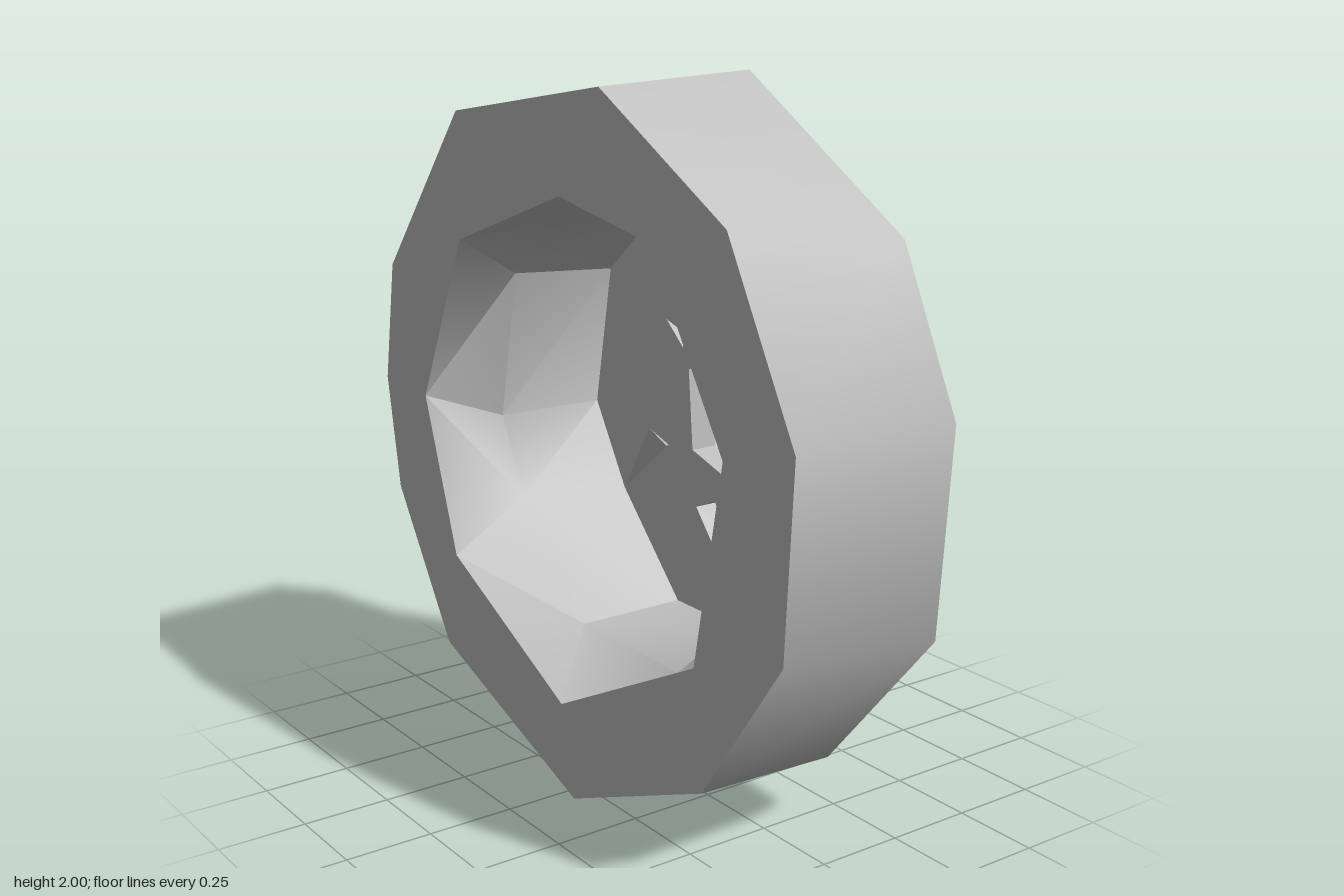
import * as THREE from 'three';
import { toCreasedNormals } from 'three/addons/utils/BufferGeometryUtils.js';

const CY = 1; // height of the axle

// Rings of [x, y] points, placed at a depth z
const rings = {
  deep: { z: -0.24, p: [[0.1, 1.62], [0.42, 1.5], [0.62, 1.2], [0.63, 0.9], [0.52, 0.62], [0.13, 0.39], [-0.22, 0.39], [-0.5, 0.68], [-0.65, 0.93], [-0.57, 1.36], [-0.33, 1.56]] },
  barrel: { z: 0.1, p: [[0.1, 1.67], [0.4, 1.53], [0.62, 1.22], [0.63, 0.95], [0.6, 0.7], [0.24, 0.39], [-0.22, 0.39], [-0.55, 0.7], [-0.66, 0.93], [-0.57, 1.38], [-0.33, 1.57]] },
  lip: { z: 0.325, p: [[0.02, 1.69], [0.42, 1.62], [0.72, 1.14], [0.61, 0.58], [0, 0.27], [-0.57, 0.55], [-0.73, 1.01], [-0.5, 1.51]] },
  outerFront: { z: 0.32, p: [[0.2, 1.98], [0.72, 1.69], [0.98, 1.21], [0.95, 0.69], [0.64, 0.25], [0.05, 0], [-0.64, 0.25], [-0.92, 0.68], [-0.98, 1.02], [-0.92, 1.38], [-0.51, 1.87]] },
  outerBack: { z: -0.18, p: [[0.17, 2], [0.78, 1.63], [0.98, 1.21], [0.94, 0.64], [0.55, 0.18], [-0.16, 0.02], [-0.7, 0.33], [-0.92, 0.68], [-0.98, 1.16], [-0.73, 1.67], [-0.37, 1.91]] },
  shoulder: { z: -0.2, p: [[0.1, 1.84], [0.55, 1.62], [0.8, 1.2], [0.78, 0.75], [0.48, 0.34], [-0.02, 0.21], [-0.58, 0.45], [-0.8, 0.95], [-0.66, 1.5], [-0.3, 1.78]] },
  backRing: { z: -0.325, p: [[-0.05, 1.58], [0.38, 1.58], [0.54, 1.28], [0.62, 1.02], [0.57, 0.68], [0.25, 0.46], [-0.15, 0.4], [-0.5, 0.64], [-0.62, 0.99], [-0.48, 1.38]] },
};

// Openings through the disc: front outline and back outline, counter-clockwise
const hub = [[0.02, 1.2], [-0.17, 1.12], [-0.15, 0.88], [0.05, 0.82], [0.19, 0.93], [0.13, 1.16]];
const openings = [
  [hub, hub],
  [[[0, 1.46], [0.03, 1.23], [0.1, 1.25]], [[0, 1.48], [0.13, 1.22], [0.16, 1.42]]],
  [[[-0.28, 1.25], [-0.2, 1.18], [-0.18, 1.22]], [[-0.28, 1.26], [-0.2, 1.18], [-0.17, 1.23]]],
  [[[-0.5, 0.68], [-0.27, 0.87], [-0.37, 0.9]], [[-0.34, 0.8], [-0.26, 0.87], [-0.37, 0.9]]],
  [[[0.13, 0.4], [-0.04, 0.75], [-0.13, 0.71]], [[-0.05, 0.62], [-0.04, 0.76], [-0.13, 0.71]]],
  [[[0.29, 0.74], [0.29, 0.89], [0.18, 0.8]], [[0.26, 0.75], [0.29, 0.89], [0.18, 0.8]]],
  [[[0.36, 1.07], [0.26, 1.17], [0.27, 1.08]], [[0.5, 1.04], [0.26, 1.17], [0.27, 1.07]]],
];

function fromTriangles(pos) {
  const g = new THREE.BufferGeometry();
  g.setAttribute('position', new THREE.Float32BufferAttribute(pos, 3));
  return g;
}

// Joins two rings with unequal point counts, advancing by angle around the axle
function stitch(ringA, ringB, pos) {
  const sorted = ({ z, p }) => {
    const s = p.map(([x, y]) => ({ v: [x, y, z], a: (Math.atan2(y - CY, x) + Math.PI * 2) % (Math.PI * 2) }))
      .sort((m, n) => m.a - n.a);
    s.push({ v: s[0].v, a: s[0].a + Math.PI * 2 });
    return s;
  };
  const a = sorted(ringA), b = sorted(ringB);
  let i = 0, j = 0;
  while (i < a.length - 1 || j < b.length - 1) {
    if (j === b.length - 1 || (i < a.length - 1 && a[i + 1].a <= b[j + 1].a)) {
      pos.push(...a[i].v, ...b[j].v, ...a[i + 1].v);
      i++;
    } else {
      pos.push(...a[i].v, ...b[j].v, ...b[j + 1].v);
      j++;
    }
  }
}

function band(names) {
  const pos = [];
  for (let k = 0; k < names.length - 1; k++) stitch(rings[names[k]], rings[names[k + 1]], pos);
  return toCreasedNormals(fromTriangles(pos), 0.65);
}

// Flat face of the disc with its openings
function face({ z, p }, side) {
  const path = (pts) => pts.map(([x, y]) => new THREE.Vector2(x, y));
  const shape = new THREE.Shape(path(p));
  shape.holes = openings.map((o) => new THREE.Path(path(o[side])));
  const g = new THREE.ShapeGeometry(shape).toNonIndexed();
  const at = g.attributes.position, pos = [];
  for (let i = 0; i < at.count; i += 3) {
    for (const k of side ? [0, 2, 1] : [0, 1, 2]) pos.push(at.getX(i + k), at.getY(i + k), z);
  }
  const out = fromTriangles(pos);
  out.computeVertexNormals();
  return out;
}

// Walls between the front and back outlines of the openings
function openingWalls() {
  const pos = [];
  for (const [f, b] of openings) {
    f.forEach((_, i) => {
      const n = (i + 1) % f.length;
      const f0 = [...f[i], rings.deep.z], f1 = [...f[n], rings.deep.z];
      const b0 = [...b[i], rings.backRing.z], b1 = [...b[n], rings.backRing.z];
      pos.push(...b0, ...f0, ...b1, ...f0, ...f1, ...b1);
    });
  }
  const g = fromTriangles(pos);
  g.computeVertexNormals();
  return g;
}

export function createModel() {
  const group = new THREE.Group();
  const grey = new THREE.MeshStandardMaterial({ color: 0xbfbfbf });
  grey.name = 'grey';
  const add = (name, geometry) => {
    const mesh = new THREE.Mesh(geometry, grey);
    mesh.name = name;
    group.add(mesh);
  };
  add('innerBarrel', band(['deep', 'barrel', 'lip']));
  add('tyre', band(['lip', 'outerFront', 'outerBack', 'shoulder', 'backRing']));
  add('discFront', face(rings.deep, 0));
  add('discBack', face(rings.backRing, 1));
  add('discOpenings', openingWalls());
  return group;
}
